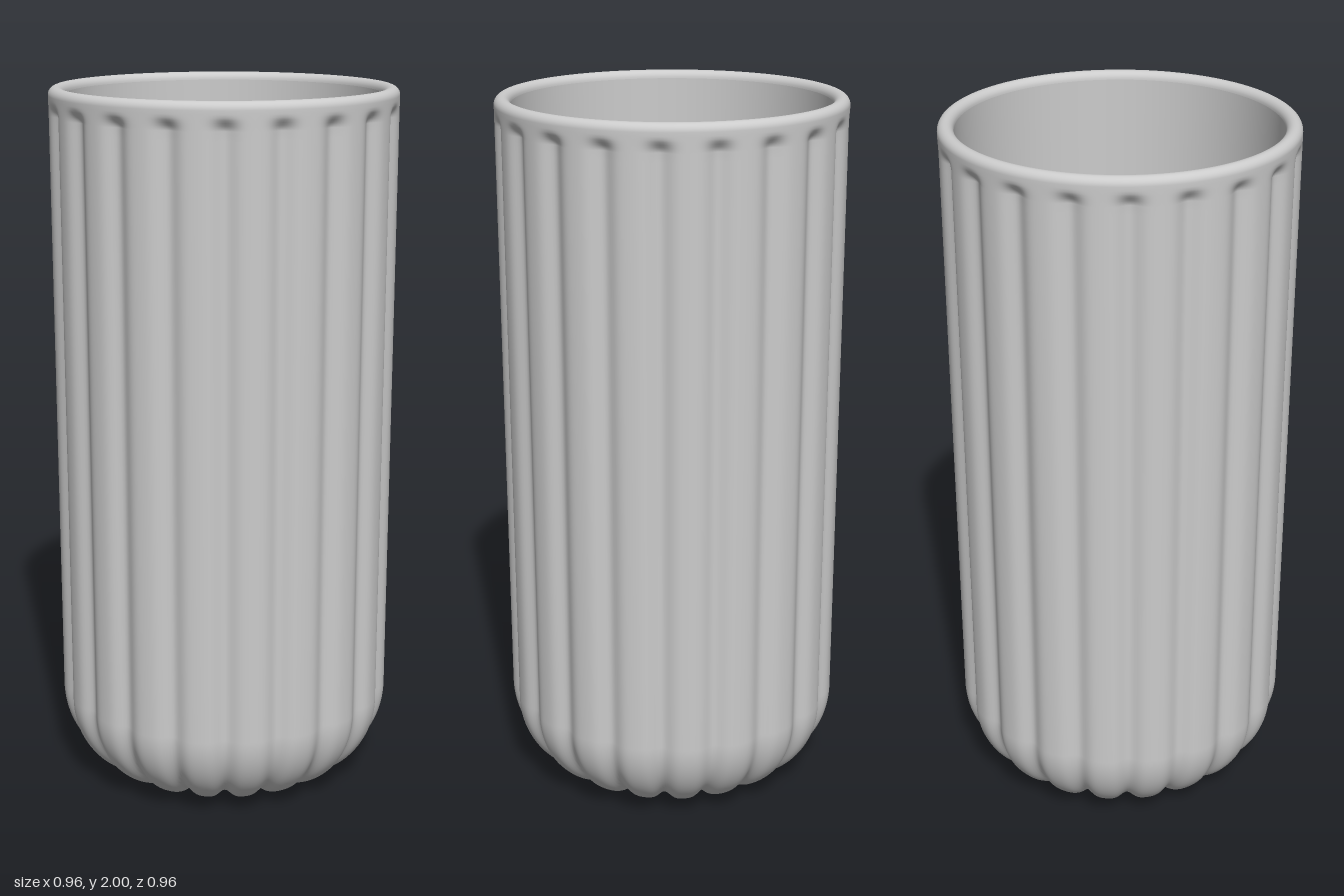
import * as THREE from 'three';
import { mergeVertices } from 'three/addons/utils/BufferGeometryUtils.js';

const FLUTES = 20, SEGMENTS = FLUTES * 18;
const R = 0.479, INNER = 0.435, FLOOR = 0.05, BASE = 0.235;

// Points of an elliptical arc, angles in degrees
function arc(cx, cy, rx, ry, from, to, steps) {
  return Array.from({ length: steps + 1 }, (_, i) => {
    const a = THREE.MathUtils.degToRad(from + (to - from) * i / steps);
    return new THREE.Vector2(cx + rx * Math.cos(a), cy + ry * Math.sin(a));
  });
}

// Revolves a profile and welds it so the normals are smooth across the seam
function revolve(points, displace) {
  const geo = new THREE.LatheGeometry(points, SEGMENTS);
  const pos = geo.attributes.position, nor = geo.attributes.normal;
  if (displace) {
    for (let i = 0; i < pos.count; i++) {
      const phi = Math.floor(i / points.length) / SEGMENTS * Math.PI * 2;
      const d = displace(phi, points[i % points.length]);
      pos.setXYZ(i, pos.getX(i) + nor.getX(i) * d, pos.getY(i) + nor.getY(i) * d, pos.getZ(i) + nor.getZ(i) * d);
    }
  }
  geo.deleteAttribute('uv');
  geo.deleteAttribute('normal');
  const welded = mergeVertices(geo, 1e-5);
  welded.computeVertexNormals();
  return welded;
}

// Narrow grooves between broad lobes, fading out at the base and under the rim
function groove(phi, p) {
  const step = Math.PI * 2 / FLUTES;
  const a = THREE.MathUtils.radToDeg(phi - Math.round(phi / step) * step);
  const fade = THREE.MathUtils.smoothstep(p.x, BASE, BASE + 0.035)
    * (1 - THREE.MathUtils.smoothstep(p.y, 1.925, 1.965));
  return -0.021 * Math.exp(-((a / 3.7) ** 2)) * fade;
}

export function createModel() {
  const group = new THREE.Group();
  group.name = 'flutedTumbler';
  const material = new THREE.MeshStandardMaterial({ color: 0xcccccc });
  const add = (name, geometry) => {
    const mesh = new THREE.Mesh(geometry, material);
    mesh.name = name;
    group.add(mesh);
    return mesh;
  };

  // Outer wall: rounded foot, straight side, rounded rim
  const lip = (R - INNER) / 2;
  const wallRows = [0.5, 0.9, 1.3, 1.7, 1.9, 1.925, 1.932, 1.939, 1.946, 1.953, 1.96, 1.968];
  add('flutedWall', revolve([
    ...arc(BASE, 0.26, R - BASE, 0.26, -90, 0, 28),
    ...wallRows.map(y => new THREE.Vector2(R, y)),
    ...arc(R - lip, 2 - lip, lip, lip, 0, 180, 14),
  ], groove));

  // Inner wall and rounded floor
  add('innerBowl', revolve([
    new THREE.Vector2(INNER, 2 - lip),
    new THREE.Vector2(INNER, 1.2),
    ...arc(0.235, FLOOR + 0.22, INNER - 0.235, 0.22, 0, -90, 18),
    new THREE.Vector2(0.12, FLOOR),
    new THREE.Vector2(0, FLOOR),
  ]));

  // Flat underside
  const base = add('base', new THREE.CircleGeometry(BASE, SEGMENTS));
  base.rotation.x = Math.PI / 2;
  return group;
}
